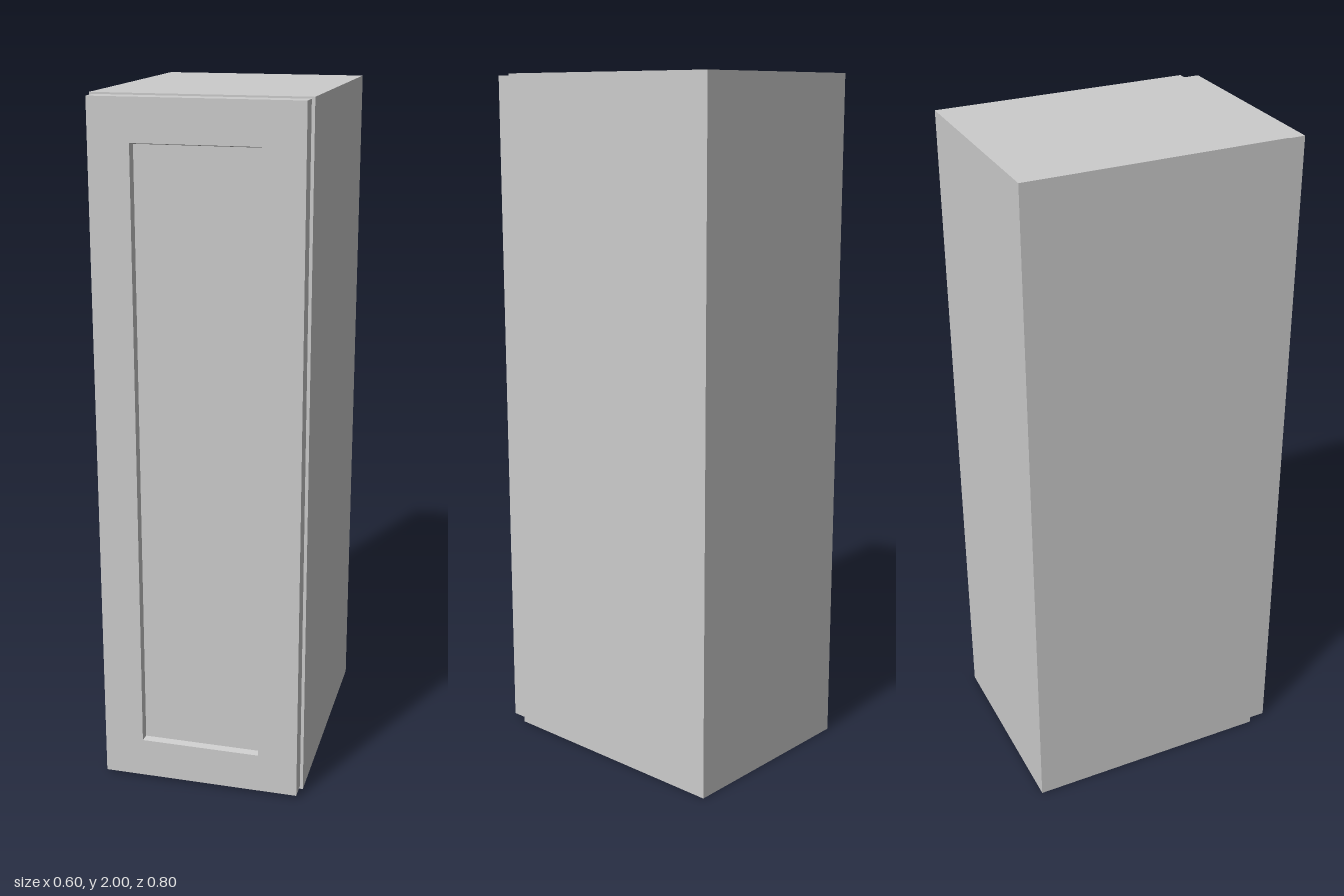
import * as THREE from 'three';

const material = new THREE.MeshStandardMaterial({ color: 0xcccccc, flatShading: true });

function addBox(parent, name, [w, h, d], [x, y, z]) {
  const mesh = new THREE.Mesh(new THREE.BoxGeometry(w, h, d), material);
  mesh.name = name;
  mesh.position.set(x, y, z);
  parent.add(mesh);
}

// Closed solid from nested rectangles [halfWidth, halfHeight, z], back to front
function rectLoft(rings) {
  const corners = [[-1, -1], [1, -1], [1, 1], [-1, 1]];
  const points = rings.map(([w, h, z]) => corners.map(([sx, sy]) => [sx * w, sy * h, z]));
  const pos = [];
  const quad = (a, b, c, d) => pos.push(...a, ...b, ...c, ...a, ...c, ...d);
  for (let r = 0; r < points.length - 1; r++) {
    for (let i = 0; i < 4; i++) {
      const j = (i + 1) % 4;
      quad(points[r][i], points[r][j], points[r + 1][j], points[r + 1][i]);
    }
  }
  const first = points[0], last = points[points.length - 1];
  quad(first[3], first[2], first[1], first[0]);
  quad(...last);
  const geometry = new THREE.BufferGeometry();
  geometry.setAttribute('position', new THREE.Float32BufferAttribute(pos, 3));
  geometry.computeVertexNormals();
  return geometry;
}

export function createModel() {
  const model = new THREE.Group();
  model.name = 'tallCabinet';

  const back = -0.4, front = 0.347, depth = front - back;
  const midZ = (front + back) / 2, side = 0.047, half = 0.3;

  // Cabinet body: two side panels around the core
  for (const s of [-1, 1]) {
    addBox(model, s > 0 ? 'leftSidePanel' : 'rightSidePanel',
      [side, 2, depth], [s * (half - side / 2), 1, midZ]);
  }
  addBox(model, 'cabinetBody', [2 * (half - side), 2, depth], [0, 1, midZ]);

  // Door with a recessed centre panel and slightly sloped inner edges
  const door = new THREE.Mesh(rectLoft([
    [0.291, 0.993, front],
    [0.291, 0.993, 0.4],
    [0.176, 0.876, 0.4],
    [0.172, 0.872, 0.38],
  ]), material);
  door.name = 'door';
  door.position.y = 1.002;
  model.add(door);

  return model;
}
